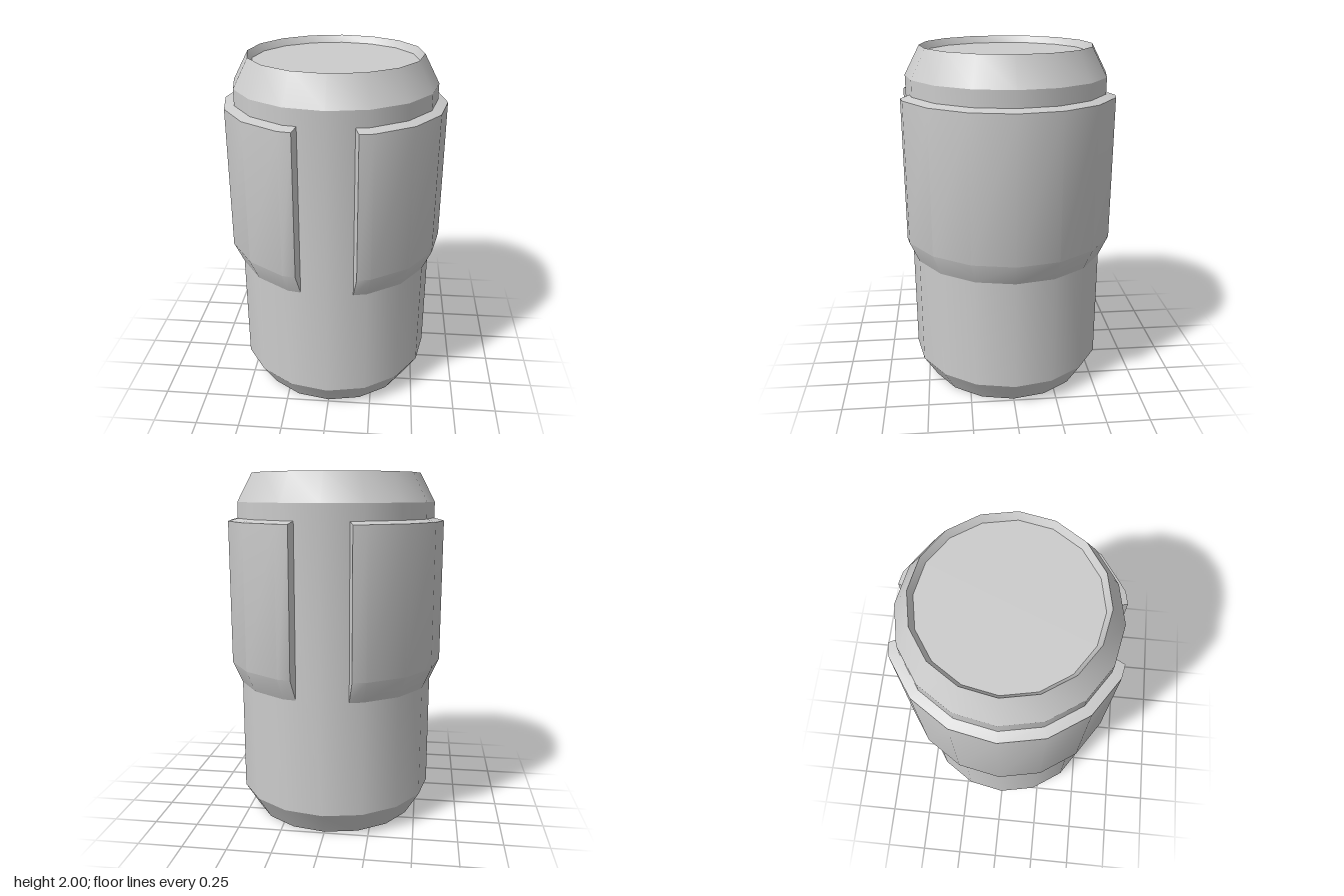
import * as THREE from 'three';
import { toCreasedNormals } from 'three/addons/utils/BufferGeometryUtils.js';

const SIDES = 16;
const BODY_R = 0.57;
const GRIP_R = 0.625;
const CREASE = 0.45;

// Curved pad on the +x side, from cross-sections stacked upwards
function gripGeometry() {
  const ring = (r, endX, endZ, y) => {
    const pts = [[endX, y, endZ]];
    for (let i = 3; i >= -3; i--) {
      const a = (i * 2 * Math.PI) / SIDES;
      pts.push([r * Math.cos(a), y, r * Math.sin(a)]);
    }
    pts.push([endX, y, -endZ]);
    return pts;
  };
  const rows = [
    ring(BODY_R, 0.145, 0.541, 0.795),
    ring(GRIP_R, 0.165, 0.592, 0.92),
    ring(GRIP_R, 0.165, 0.592, 1.735),
    ring(BODY_R, 0.145, 0.541, 1.75),
  ];
  const pos = [];
  const quad = (a, b, c, d) => pos.push(...a, ...b, ...c, ...a, ...c, ...d);
  const last = rows[0].length - 1;
  for (let r = 0; r < rows.length - 1; r++) {
    for (let c = 0; c < last; c++) {
      quad(rows[r][c], rows[r][c + 1], rows[r + 1][c + 1], rows[r + 1][c]);
    }
  }
  // Closed ends
  quad(...rows.map((row) => row[0]));
  quad(...rows.map((row) => row[last]).reverse());
  const geo = new THREE.BufferGeometry();
  geo.setAttribute('position', new THREE.Float32BufferAttribute(pos, 3));
  return toCreasedNormals(geo, CREASE);
}

export function createModel() {
  const group = new THREE.Group();
  const material = new THREE.MeshStandardMaterial({ color: 0xcccccc });

  // Chamfered body with a shallow dish in the top
  const profile = [
    [0, 0], [0.485, 0], [BODY_R, 0.14], [BODY_R, 1.84],
    [0.485, 2], [0.46, 1.96], [0, 1.96],
  ].map(([x, y]) => new THREE.Vector2(x, y));
  const body = new THREE.Mesh(
    toCreasedNormals(new THREE.LatheGeometry(profile, SIDES), CREASE), material);
  body.name = 'body';
  group.add(body);

  // Two raised grips, one on each side
  const grip = gripGeometry();
  ['leftGrip', 'rightGrip'].forEach((name, i) => {
    const mesh = new THREE.Mesh(grip, material);
    mesh.name = name;
    mesh.rotation.y = i * Math.PI;
    group.add(mesh);
  });
  return group;
}
